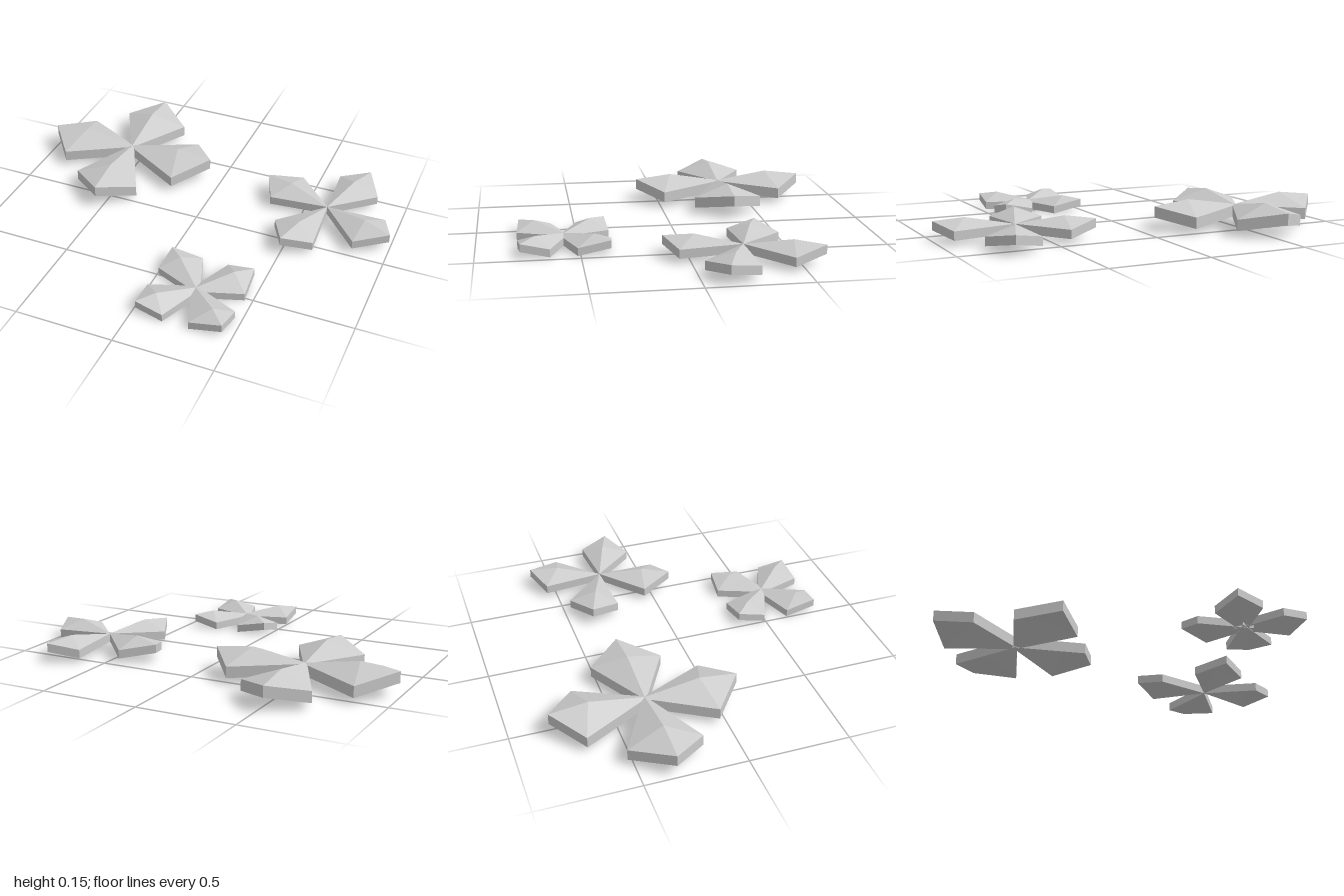
import * as THREE from 'three';

const material = new THREE.MeshStandardMaterial({ color: 0xcccccc, flatShading: true });

// One folded, kite-shaped petal pointing along +x: a raised ridge point, four corners, even thickness
function petalGeometry({ inner, sideA, sideB, tip, ridge, thickness }) {
  const top = [
    [inner[0], inner[1], 0],
    sideA,
    [tip[0], tip[1], 0],
    sideB,
    [ridge[0], ridge[1], 0],
  ];
  const bottom = top.map(([x, y, z]) => [x, y - thickness, z]);
  const index = [];
  for (let i = 0; i < 4; i++) {
    const j = (i + 1) % 4;
    index.push(4, i, j); // upper facet
    index.push(9, j + 5, i + 5); // lower facet
    index.push(i, i + 5, j + 5, i, j + 5, j); // rim
  }
  const geometry = new THREE.BufferGeometry();
  geometry.setAttribute('position', new THREE.Float32BufferAttribute([...top, ...bottom].flat(), 3));
  geometry.setIndex(index);
  const flat = geometry.toNonIndexed();
  flat.computeVertexNormals();
  return flat;
}

// Four petals around a centre; angle is the heading of the first petal
function createFlower(name, x, z, angle, petal) {
  const flower = new THREE.Group();
  flower.name = name;
  flower.position.set(x, 0, z);
  const geometry = petalGeometry(petal);
  for (let i = 0; i < 4; i++) {
    const mesh = new THREE.Mesh(geometry, material);
    mesh.name = `petal${i + 1}`;
    mesh.rotation.y = angle + (i * Math.PI) / 2;
    flower.add(mesh);
  }
  return flower;
}

export function createModel() {
  const model = new THREE.Group();
  model.name = 'flowers';

  // inner, tip, ridge: [distance, height]; sides: [distance, height, offset]
  model.add(createFlower('largeFlower', -0.532, -0.347, 0.01, {
    inner: [-0.02, 0.1], tip: [0.467, 0.125], ridge: [0.275, 0.148],
    sideA: [0.312, 0.085, 0.184], sideB: [0.33, 0.085, -0.173], thickness: 0.056,
  }));
  model.add(createFlower('mediumFlower', 0.632, -0.248, -0.35, {
    inner: [0, 0.077], tip: [0.388, 0.097], ridge: [0.235, 0.114],
    sideA: [0.26, 0.068, 0.137], sideB: [0.28, 0.068, -0.122], thickness: 0.044,
  }));
  model.add(createFlower('smallFlower', 0.235, 0.57, Math.PI / 4, {
    inner: [-0.049, 0.042], tip: [0.307, 0.068], ridge: [0.2, 0.083],
    sideA: [0.2, 0.039, 0.121], sideB: [0.215, 0.039, -0.108], thickness: 0.039,
  }));
  return model;
}
